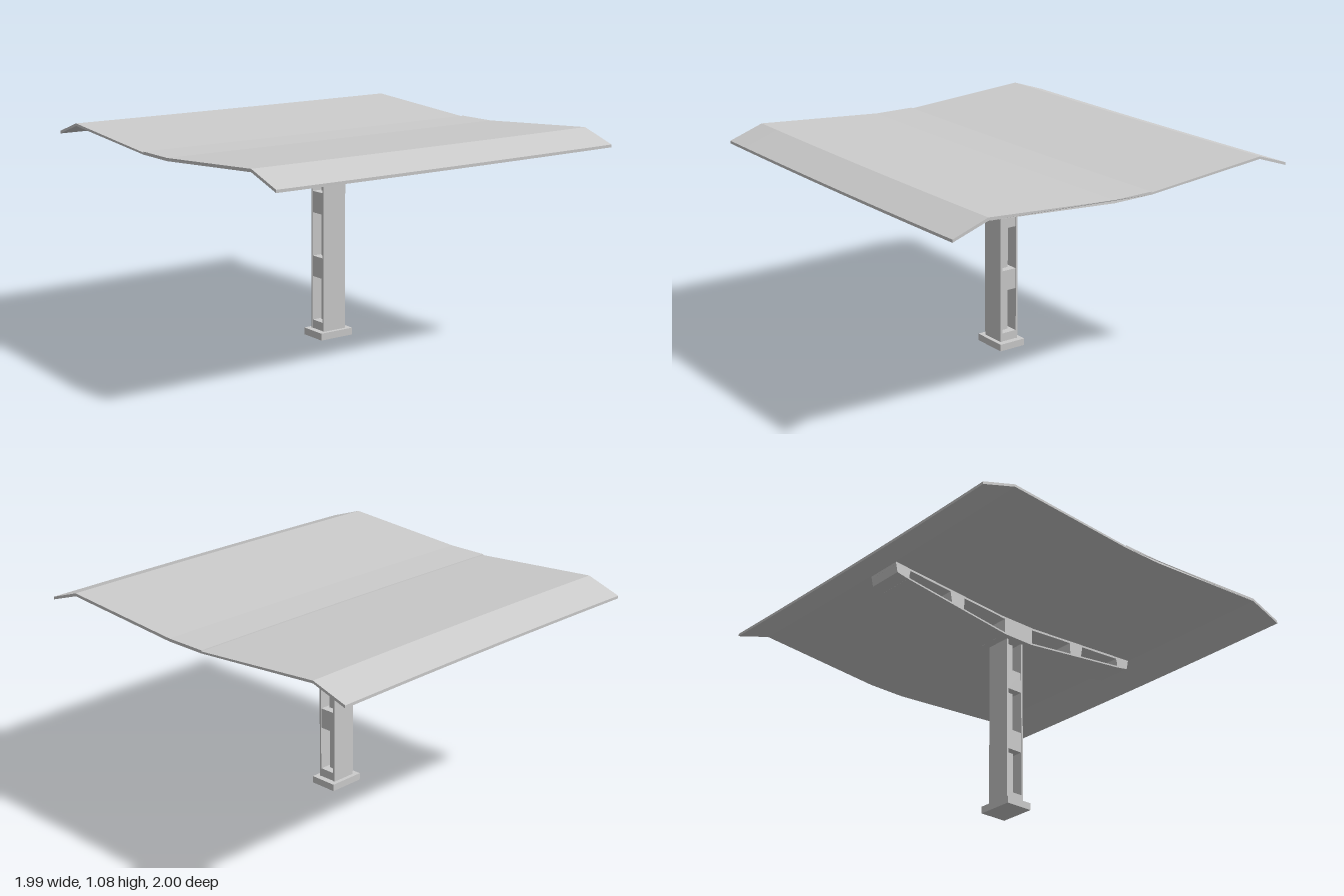
import * as THREE from 'three';

const material = new THREE.MeshStandardMaterial({
  color: 0xcccccc, flatShading: true, side: THREE.DoubleSide,
});
const OFFSET = 0.005; // post and beam sit slightly forward

// Extrude a (z, y) outline along x, centred on x = 0.
function extrudeX(points, width, steps = 1) {
  const shape = new THREE.Shape(points.map(([z, y]) => new THREE.Vector2(z, y)));
  const geo = new THREE.ExtrudeGeometry(shape, { depth: width, steps, bevelEnabled: false });
  geo.translate(0, 0, -width / 2);
  geo.rotateY(-Math.PI / 2);
  return geo;
}

function addMesh(parent, name, geo, z = 0) {
  const mesh = new THREE.Mesh(geo, material);
  mesh.name = name;
  mesh.position.z = z;
  parent.add(mesh);
  return mesh;
}

function addBox(parent, name, w, y0, y1, d, z = 0) {
  const mesh = addMesh(parent, name, new THREE.BoxGeometry(w, y1 - y0, d), z);
  mesh.position.y = (y0 + y1) / 2;
}

// Folded canopy sheet, bowed gently in plan, with a small lap seam at the rear valley.
function buildRoof(group) {
  const top = [[0.995, 1.021], [0.81, 1.084], [0.11, 1.034], [-0.11, 1.034],
    [-0.111, 1.029], [-0.81, 1.082], [-0.995, 1.021]];
  const bottom = [[-0.995, 1.007], [-0.81, 1.069], [-0.11, 1.019],
    [0.11, 1.019], [0.81, 1.069], [0.995, 1.007]];
  const geo = extrudeX([...top, ...bottom], 2, 12);
  const p = geo.attributes.position;
  for (let i = 0; i < p.count; i++) {
    const x = p.getX(i), z = p.getZ(i);
    p.setX(i, x * (0.995 + 0.011 * z - 0.011 * z * z));
    p.setZ(i, z + 0.005 - 0.01 * x * x);
  }
  geo.computeVertexNormals();
  addMesh(group, 'roof', geo);
}

// Heights of the beam's upper and lower faces at distance z from the middle.
const upper = (z) => 1.019 + Math.max(0, z - 0.11) * 0.0714;
const lower = (z) => 0.92 + Math.max(0, z - 0.09) * 0.127;

function buildBeam(group) {
  const beam = new THREE.Group();
  beam.name = 'beam';
  beam.position.z = OFFSET;
  group.add(beam);
  const w = 0.195;

  // Chords run the full length as bent strips
  const zs = [-0.805, -0.1, 0.1, 0.805];
  const strip = (f, t) => [
    ...zs.map((z) => [z, f(Math.abs(z))]),
    ...[...zs].reverse().map((z) => [z, f(Math.abs(z)) + t]),
  ];
  addMesh(beam, 'upperChord', extrudeX(strip(upper, -0.012), w));
  addMesh(beam, 'lowerChord', extrudeX([
    [-0.73, lower(0.73)], [-0.09, 0.92], [0.09, 0.92], [0.73, lower(0.73)],
    [0.73, lower(0.73) + 0.009], [0.09, 0.929], [-0.09, 0.929], [-0.73, lower(0.73) + 0.009],
  ], w));
  addBox(beam, 'beamHub', w, 0.92, 1.015, 0.187);

  // Tapered spacer blocks, mirrored front and back
  for (const s of [1, -1]) {
    const block = (name, outline) =>
      addMesh(beam, name, extrudeX(outline.map(([z, y]) => [s * z, y]), w));
    block('midSpacer', [[0.37, lower(0.37)], [0.445, lower(0.445)],
      [0.46, upper(0.46) - 0.004], [0.365, upper(0.365) - 0.004]]);
    block('endSpacer', [[0.72, lower(0.72)], [0.795, 1.014],
      [0.807, upper(0.807) - 0.002], [0.712, upper(0.712) - 0.004], [0.722, 1.02]]);
  }
}

function buildPost(group) {
  const post = new THREE.Group();
  post.name = 'post';
  post.position.z = OFFSET;
  group.add(post);
  addBox(post, 'basePlate', 0.195, 0, 0.036, 0.15);
  for (const s of [1, -1]) addBox(post, 'postPlate', 0.135, 0.036, 0.925, 0.01, s * 0.048);
  addBox(post, 'postCore', 0.05, 0.036, 0.925, 0.046);
  for (const [y0, y1] of [[0.036, 0.08], [0.31, 0.417], [0.642, 0.752]]) {
    addBox(post, 'postSpacer', 0.13, y0, y1, 0.088);
  }
}

export function createModel() {
  const group = new THREE.Group();
  group.name = 'canopy';
  buildRoof(group);
  buildBeam(group);
  buildPost(group);
  return group;
}
